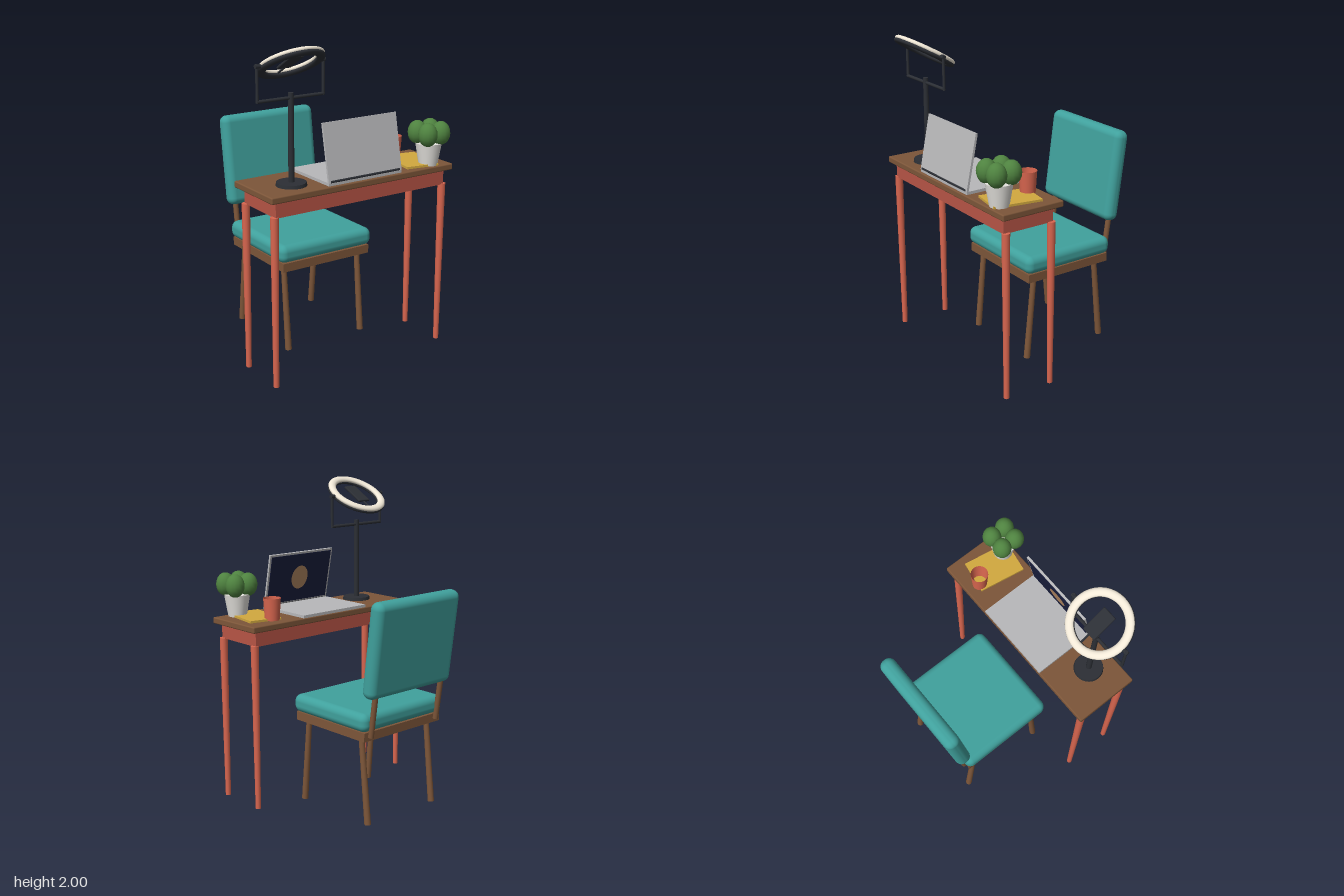
import * as THREE from 'three';
import { RoundedBoxGeometry } from 'three/addons/geometries/RoundedBoxGeometry.js';

const mat = (color, side = THREE.FrontSide) => new THREE.MeshStandardMaterial({ color, side });
const teal = mat(0x40a19d), wood = mat(0x7d5639), coral = mat(0xd9664f), apronRed = mat(0xb85546);
const dark = mat(0x2c2f35), cream = mat(0xf2e9d8), silver = mat(0xb8b8ba), navy = mat(0x1b2040);

function add(parent, name, geometry, material, x = 0, y = 0, z = 0) {
  const mesh = new THREE.Mesh(geometry, material);
  mesh.name = name;
  mesh.position.set(x, y, z);
  parent.add(mesh);
  return mesh;
}

function group(parent, name, x = 0, y = 0, z = 0) {
  const g = new THREE.Group();
  g.name = name;
  g.position.set(x, y, z);
  parent.add(g);
  return g;
}

// Tapered round bar between two points
function bar(parent, name, from, to, r0, r1, material, sides = 12) {
  const a = new THREE.Vector3(...from), b = new THREE.Vector3(...to);
  const dir = b.clone().sub(a);
  const mesh = add(parent, name, new THREE.CylinderGeometry(r1, r0, dir.length(), sides), material);
  mesh.position.copy(a).add(b).multiplyScalar(0.5);
  mesh.quaternion.setFromUnitVectors(new THREE.Vector3(0, 1, 0), dir.normalize());
  return mesh;
}

function buildDesk(root) {
  const desk = group(root, 'desk');
  add(desk, 'deskTop', new RoundedBoxGeometry(1.31, 0.04, 0.42, 2, 0.008), wood, 0, 1.16, 0.363);
  add(desk, 'deskApron', new THREE.BoxGeometry(1.22, 0.095, 0.345), apronRed, 0, 1.093, 0.367);
  for (const x of [-0.61, 0.61])
    for (const z of [0.207, 0.525])
      bar(desk, 'deskLeg', [x, 0, z], [x, 1.05, z], 0.017, 0.025, coral);
}

function buildChair(root) {
  const chair = group(root, 'chair');
  add(chair, 'seatCushion', new RoundedBoxGeometry(0.69, 0.115, 0.65, 4, 0.045), teal, 0, 0.648, -0.15);
  add(chair, 'seatFrame', new THREE.BoxGeometry(0.65, 0.055, 0.62), wood, 0, 0.563, -0.15);
  const back = add(chair, 'backCushion', new RoundedBoxGeometry(0.69, 0.59, 0.1, 4, 0.045), teal, 0, 1.097, -0.524);
  back.rotation.x = -0.13;
  for (const x of [-0.28, 0.28]) {
    bar(chair, 'frontLeg', [x, 0, 0.14], [x, 0.55, 0.09], 0.021, 0.018, wood);
    bar(chair, 'rearLeg', [x, 0, -0.445], [x, 0.55, -0.388], 0.021, 0.018, wood);
    bar(chair, 'backPost', [x, 0.56, -0.47], [x, 0.95, -0.525], 0.018, 0.018, wood);
  }
}

function buildLaptop(root) {
  const laptop = group(root, 'laptop');
  add(laptop, 'laptopBase', new THREE.BoxGeometry(0.526, 0.018, 0.405), silver, 0, 1.189, 0.356);
  const hinge = add(laptop, 'hinge', new THREE.CylinderGeometry(0.009, 0.009, 0.5, 10), dark, 0, 1.203, 0.553);
  hinge.rotation.z = Math.PI / 2;
  // Lid leans towards the chair, with the display on its inner face
  const lid = group(laptop, 'lid', 0, 1.195, 0.553);
  lid.rotation.x = -0.2;
  add(lid, 'lidShell', new THREE.BoxGeometry(0.526, 0.35, 0.014), silver, 0, 0.175, 0);
  add(lid, 'display', new THREE.BoxGeometry(0.5, 0.32, 0.004), navy, 0, 0.177, -0.008);
  const picture = add(lid, 'displayOval', new THREE.CircleGeometry(0.08, 28), mat(0xb58a63), 0, 0.177, -0.012);
  picture.rotation.y = Math.PI;
  picture.scale.x = 0.85;
}

function buildRingLight(root) {
  const lamp = group(root, 'ringLight', -0.424, 0, 0.412);
  add(lamp, 'lampBase', new THREE.CylinderGeometry(0.088, 0.092, 0.02, 28), dark, 0, 1.19, 0);
  bar(lamp, 'pole', [0, 1.19, 0], [0, 1.72, 0], 0.018, 0.016, dark);
  // Fork that carries the ring
  bar(lamp, 'forkBar', [-0.222, 1.69, 0], [0.222, 1.69, 0], 0.01, 0.01, dark);
  for (const s of [-1, 1]) {
    bar(lamp, 'forkArm', [s * 0.219, 1.683, 0], [s * 0.219, 1.9, 0], 0.009, 0.009, dark);
    bar(lamp, 'pivot', [s * 0.18, 1.887, 0], [s * 0.23, 1.887, 0], 0.013, 0.013, dark);
  }
  // Tilted head: local z is the lit side
  const head = group(lamp, 'lampHead', 0, 1.887, 0);
  head.rotation.x = -Math.PI * 2 / 3;
  const ring = new THREE.TorusGeometry(0.174, 0.026, 12, 40);
  ring.scale(1, 1, 0.62);
  add(head, 'glowRing', ring, cream, 0, 0, 0.007);
  add(head, 'ringShell', ring, dark, 0, 0, -0.009);
  add(head, 'phone', new RoundedBoxGeometry(0.092, 0.17, 0.016, 2, 0.006), dark, 0, 0, 0.006);
  bar(head, 'phoneStalk', [0, 0.07, 0], [0, 0.16, 0], 0.006, 0.006, dark);
}

function buildDeskItems(root) {
  // Notebook turned slightly on the desk
  const book = add(root, 'notebook', new THREE.BoxGeometry(0.215, 0.014, 0.305), mat(0xd2a93f), 0.467, 1.187, 0.393);
  book.rotation.y = -0.167;

  const cup = new THREE.CylinderGeometry(0.055, 0.046, 0.138, 24, 1, true);
  add(root, 'cup', cup, mat(0xd9664f, THREE.DoubleSide), 0.437, 1.251, 0.25);

  // Potted plant with four round clumps of leaves
  const plant = group(root, 'plant', 0.514, 1.18, 0.503);
  add(plant, 'pot', new THREE.CylinderGeometry(0.082, 0.058, 0.14, 20), mat(0xe6e4df), 0, 0.07, 0);
  const leaf = new THREE.SphereGeometry(0.06, 14, 10);
  leaf.scale(1, 1.22, 1);
  const green = mat(0x4f8340);
  for (const x of [-0.05, 0.05])
    for (const z of [-0.05, 0.05])
      add(plant, 'leafClump', leaf, green, x, 0.202, z);
}

export function createModel() {
  const model = new THREE.Group();
  model.name = 'deskWithChair';
  buildDesk(model);
  buildChair(model);
  buildLaptop(model);
  buildRingLight(model);
  buildDeskItems(model);
  return model;
}
